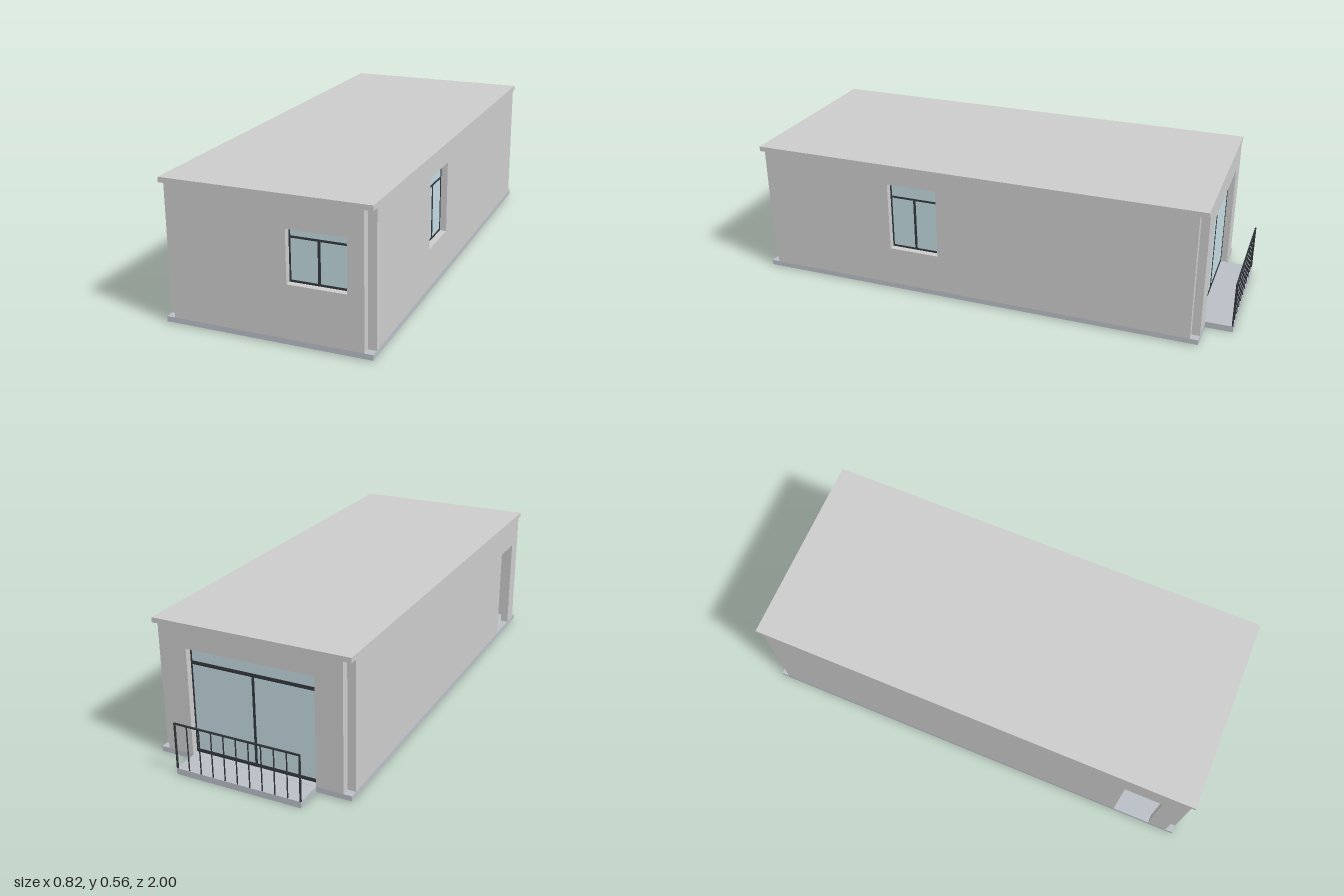
import * as THREE from 'three';

const mat = (color) => new THREE.MeshStandardMaterial({ color });
const wallMat = mat(0xcccccc);
const slabMat = mat(0xb9bec6);
const frameMat = mat(0x33373d);
const glassMat = mat(0xc2d9e0);

const HALF_X = 0.408, BACK = -0.89, FRONT = 1, MID_Z = (FRONT + BACK) / 2;
const T = 0.033;                     // wall thickness, also the corner notch
const FLOOR = 0.026, CEILING = 0.545, ROOF = 0.565;

// Box given by its two opposite corners
function box(name, material, x0, x1, y0, y1, z0, z1) {
  const mesh = new THREE.Mesh(new THREE.BoxGeometry(x1 - x0, y1 - y0, z1 - z0), material);
  mesh.position.set((x0 + x1) / 2, (y0 + y1) / 2, (z0 + z1) / 2);
  mesh.name = name;
  return mesh;
}

// Wall with one opening; the outer face lies on local z = 0
function wall(name, half, o) {
  const shape = new THREE.Shape();
  const corners = [[half, FLOOR], [half, CEILING], [-half, CEILING], [-half, FLOOR]];
  const rect = [[o.x0, o.y0], [o.x0, o.y1], [o.x1, o.y1], [o.x1, o.y0]];
  const toPoints = (list) => list.map(([x, y]) => new THREE.Vector2(x, y));
  if (o.y0 <= FLOOR) {
    shape.setFromPoints(toPoints([...corners, ...rect]));   // doorway cut from the bottom edge
  } else {
    shape.setFromPoints(toPoints(corners));
    shape.holes.push(new THREE.Path(toPoints(rect)));
  }
  const geometry = new THREE.ExtrudeGeometry(shape, { depth: T, bevelEnabled: false });
  geometry.translate(0, 0, -T);
  const mesh = new THREE.Mesh(geometry, wallMat);
  mesh.name = name;
  return mesh;
}

// Framed window with a transom light over two panes
function windowUnit(name, o, transomY, bar) {
  const g = new THREE.Group();
  g.name = name;
  const z0 = -T, z1 = -T + 0.007, mid = (o.x0 + o.x1) / 2;
  const edge = 0.006;
  const part = (n, x0, x1, y0, y1) => g.add(box(n, frameMat, x0, x1, y0, y1, z0, z1));
  part('frameSide', o.x0, o.x0 + edge, o.y0, o.y1);
  part('frameSide', o.x1 - edge, o.x1, o.y0, o.y1);
  part('frameTop', o.x0 + edge, o.x1 - edge, o.y1 - edge, o.y1);
  part('frameBottom', o.x0 + edge, o.x1 - edge, o.y0, o.y0 + bar);
  part('transom', o.x0 + edge, o.x1 - edge, transomY - bar / 2, transomY + bar / 2);
  part('mullion', mid - 0.005, mid + 0.005, o.y0 + bar, transomY - bar / 2);
  g.add(box('glass', glassMat, o.x0 + 0.002, o.x1 - 0.002, o.y0 + 0.002, o.y1 - 0.002, z0 + 0.002, z1 - 0.002));
  return g;
}

export function createModel() {
  const model = new THREE.Group();
  model.name = 'modularHouse';

  // Floor and roof slabs
  model.add(box('floorSlab', slabMat, -HALF_X, HALF_X, 0.005, FLOOR, BACK, FRONT));
  model.add(box('roofSlab', wallMat, -HALF_X, HALF_X, CEILING, ROOF, BACK, FRONT));

  // Four walls, each built facing +z and turned into place
  const endHalf = HALF_X - T, sideHalf = (FRONT - BACK) / 2 - T;
  const sides = [
    { name: 'front', half: endHalf, pos: [0, 0, FRONT], turn: 0,
      opening: { x0: 0.086, x1: 0.313, y0: 0.235, y1: 0.44 }, transom: 0.403, bar: 0.008 },
    { name: 'back', half: endHalf, pos: [0, 0, BACK], turn: Math.PI,
      opening: { x0: -0.265, x1: 0.265, y0: FLOOR, y1: 0.467 }, transom: 0.403, bar: 0.014 },
    { name: 'windowSide', half: sideHalf, pos: [HALF_X, 0, MID_Z], turn: Math.PI / 2,
      opening: { x0: MID_Z - 0.41, x1: MID_Z - 0.197, y0: 0.19, y1: 0.48 }, transom: 0.417, bar: 0.008 },
    { name: 'doorSide', half: sideHalf, pos: [-HALF_X, 0, MID_Z], turn: -Math.PI / 2,
      opening: { x0: 0.728 - MID_Z, x1: 0.888 - MID_Z, y0: FLOOR, y1: 0.43 } },
  ];
  for (const s of sides) {
    const g = new THREE.Group();
    g.name = s.name;
    g.add(wall(s.name + 'Wall', s.half, s.opening));
    if (s.transom) g.add(windowUnit(s.name + 'Window', s.opening, s.transom, s.bar));
    g.position.set(...s.pos);
    g.rotation.y = s.turn;
    model.add(g);
  }

  // Balcony slab
  const bx = 0.263;
  model.add(box('balconySlab', slabMat, -bx, bx, 0, FLOOR - 0.0005, -1, BACK + T));

  // Balcony railing along the outer edge
  const railing = new THREE.Group();
  railing.name = 'balconyRailing';
  const top = 0.215, count = 10;
  railing.add(box('handrail', frameMat, -bx, bx, top - 0.006, top, -1, -0.994));
  for (let i = 0; i <= count; i++) {
    const r = i % count === 0 ? 0.003 : 0.0018;
    const x = -bx + 0.003 + (i / count) * (2 * bx - 0.006);
    railing.add(box(i % count === 0 ? 'railPost' : 'baluster', frameMat,
      x - r, x + r, FLOOR - 0.001, top - 0.006, -0.997 - r, -0.997 + r));
  }
  model.add(railing);
  return model;
}
